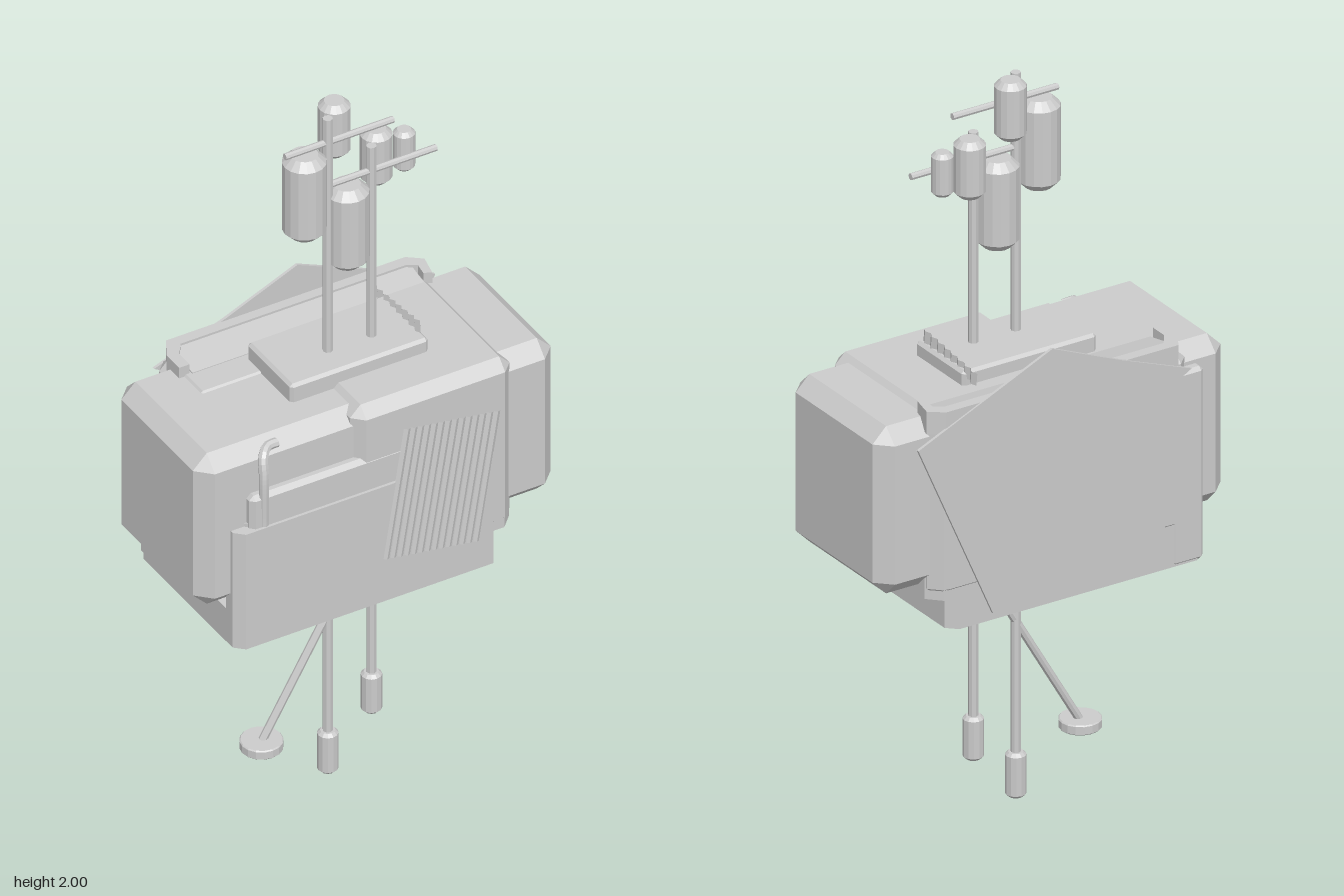
import * as THREE from 'three';
import { ConvexGeometry } from 'three/addons/geometries/ConvexGeometry.js';

export function createModel() {
  const model = new THREE.Group();
  const grey = new THREE.MeshStandardMaterial({ color: 0xcccccc, flatShading: true });
  const sheet = new THREE.MeshStandardMaterial({ color: 0xcccccc, flatShading: true, side: THREE.DoubleSide });

  const add = (name, geo, mat = grey) => {
    const mesh = new THREE.Mesh(geo, mat);
    mesh.name = name;
    model.add(mesh);
    return mesh;
  };

  // Box with all edges chamfered by c, given by its extents
  const chamferBox = (name, x0, x1, y0, y1, z0, z1, c) => {
    const pts = [];
    for (const [x, sx] of [[x0, c], [x1, -c]])
      for (const [y, sy] of [[y0, c], [y1, -c]])
        for (const [z, sz] of [[z0, c], [z1, -c]])
          pts.push(
            new THREE.Vector3(x, y + sy, z + sz),
            new THREE.Vector3(x + sx, y, z + sz),
            new THREE.Vector3(x + sx, y + sy, z));
    return add(name, new ConvexGeometry(pts));
  };

  const shapeOf = pts => new THREE.Shape(pts.map(p => new THREE.Vector2(p[0], p[1])));
  const extrude = (pts, depth) => new THREE.ExtrudeGeometry(shapeOf(pts), { depth, bevelEnabled: false });

  // Upright prism from a plan outline in x, z
  const plan = (name, pts, y0, y1) => {
    const g = extrude(pts.map(([x, z]) => [x, -z]), y1 - y0);
    return add(name, g.rotateX(-Math.PI / 2).translate(0, y0, 0));
  };

  // Straight rod between two points
  const rod = (name, a, b, r) => {
    const p = new THREE.Vector3(...a), q = new THREE.Vector3(...b);
    const m = add(name, new THREE.CylinderGeometry(r, r, p.distanceTo(q), 8));
    m.position.copy(p).lerp(q, 0.5);
    m.quaternion.setFromUnitVectors(new THREE.Vector3(0, 1, 0), q.sub(p).normalize());
  };

  // Turned cylinder with chamfered ends
  const canister = (name, x, z, y0, y1, r, c, sides = 16) => {
    const profile = [[0, y0], [r - c, y0], [r, y0 + c], [r, y1 - c], [r - c, y1], [0, y1]];
    add(name, new THREE.LatheGeometry(profile.map(p => new THREE.Vector2(...p)), sides)).position.set(x, 0, z);
  };

  // Corrugated sheet in x, y with ridges running up it
  const corrugated = (name, w, h, ribs, depth) => {
    const g = new THREE.PlaneGeometry(w, h, ribs * 2, 1);
    const p = g.attributes.position;
    for (let i = 0; i < p.count; i++) p.setZ(i, (i % (ribs * 2 + 1)) % 2 ? depth : 0);
    return add(name, g, sheet);
  };

  // Large crosswise body
  chamferBox('mainBody', -0.515, 0.51, 0.77, 1.23, -0.213, 0.213, 0.04);

  // Casing wrapped around its middle
  chamferBox('middleCasing', -0.085, 0.372, 0.74, 1.243, -0.238, 0.237, 0.03);
  chamferBox('rearCasing', -0.385, 0.36, 0.74, 1.235, -0.24, -0.02, 0.03);
  chamferBox('frontLeftCasing', -0.385, 0.3, 0.74, 1.095, -0.02, 0.238, 0.012);
  plan('sideCasing', [[-0.405, -0.2], [-0.37, -0.236], [0.34, -0.236], [0.375, -0.2],
    [0.375, 0.2], [0.34, 0.236], [-0.37, 0.236], [-0.405, 0.2]], 0.74, 1.01);

  // Lower tray and tall front panel
  plan('lowerTray', [[-0.43, -0.21], [-0.405, -0.236], [0.295, -0.236], [0.322, -0.21],
    [0.322, 0.215], [0.295, 0.243], [-0.405, 0.243], [-0.43, 0.215]], 0.65, 0.75);
  plan('frontPanel', [[-0.43, 0.19], [0.303, 0.19], [0.303, 0.246], [-0.405, 0.246], [-0.43, 0.222]], 0.65, 1.0);
  chamferBox('rearCornerRail', -0.425, -0.33, 0.65, 1.18, -0.24, -0.19, 0.01);

  // Tilted corrugated panel on the front
  const ribbed = corrugated('corrugatedFrontPanel', 0.28, 0.38, 14, 0.006);
  ribbed.position.set(0.155, 0.945, 0.245);
  ribbed.rotation.z = -0.16;

  // Bent grab handle
  add('grabHandle', new THREE.TubeGeometry(new THREE.CatmullRomCurve3([
    [-0.345, 1.0, 0.23], [-0.345, 1.15, 0.23], [-0.338, 1.195, 0.215], [-0.315, 1.207, 0.197], [-0.288, 1.207, 0.195],
  ].map(p => new THREE.Vector3(...p))), 20, 0.013, 8), grey);

  // Raised rim around the back of the top, with a sloping shelf inside
  plan('rearRim', [[-0.375, -0.13], [-0.375, -0.19], [-0.345, -0.245], [0.34, -0.245], [0.378, -0.215], [0.365, -0.155],
    [0.345, -0.165], [0.35, -0.2], [0.325, -0.215], [-0.32, -0.215], [-0.345, -0.18], [-0.345, -0.13]], 1.2, 1.262);
  add('rearShelf', extrude([[0.125, 1.2], [0.235, 1.2], [0.235, 1.26], [0.125, 1.237]], 0.68)
    .rotateY(Math.PI / 2).translate(-0.34, 0, 0));

  // Thin pointed plate on the back
  add('backPlate', extrude([[0.03, 1.355], [-0.17, 1.27], [-0.38, 1.19], [-0.31, 1.15], [-0.3, 0.73],
    [0.17, 0.73], [0.205, 0.675], [0.425, 1.18]], 0.008).translate(0, 0, -0.25));

  // Roof plate with a corrugated strip standing on its edge
  chamferBox('roofPlate', -0.19, 0.205, 1.22, 1.282, -0.115, 0.1, 0.008);
  const strip = corrugated('corrugatedRoofStrip', 0.24, 0.035, 8, 0.008);
  strip.position.set(0.19, 1.288, -0.035);
  strip.rotation.set(0, Math.PI / 2, -0.12);

  // Two masts through the body, each with a foot
  rod('tallMast', [-0.035, 0.02, 0.015], [-0.035, 1.99, 0.015], 0.013);
  rod('shortMast', [0.09, 0.15, 0.015], [0.09, 1.86, 0.015], 0.013);
  canister('tallMastFoot', -0.035, 0.015, 0, 0.122, 0.027, 0.008, 12);
  canister('shortMastFoot', 0.09, 0.015, 0.137, 0.255, 0.027, 0.008, 12);

  // Slanted strut with a disc foot
  rod('strut', [0.07, 0.66, 0.015], [-0.225, 0.155, 0.015], 0.011);
  canister('strutFoot', -0.225, 0.015, 0.138, 0.165, 0.055, 0.003);

  // Crossbars and the canisters hung on them
  rod('upperCrossbar', [-0.158, 1.917, 0.015], [0.152, 1.917, 0.015], 0.009);
  rod('lowerCrossbar', [-0.035, 1.785, 0.015], [0.275, 1.785, 0.015], 0.009);
  for (const [x, z, y0, y1, r] of [
    [-0.102, 0.015, 1.66, 1.905, 0.056], [0.02, 0.015, 1.528, 1.77, 0.056],
    [0.01, -0.03, 1.84, 2.0, 0.041], [0.13, -0.03, 1.712, 1.87, 0.041], [0.203, -0.018, 1.73, 1.848, 0.028],
  ]) canister('canister', x, z, y0, y1, r, r * 0.38);

  return model;
}
